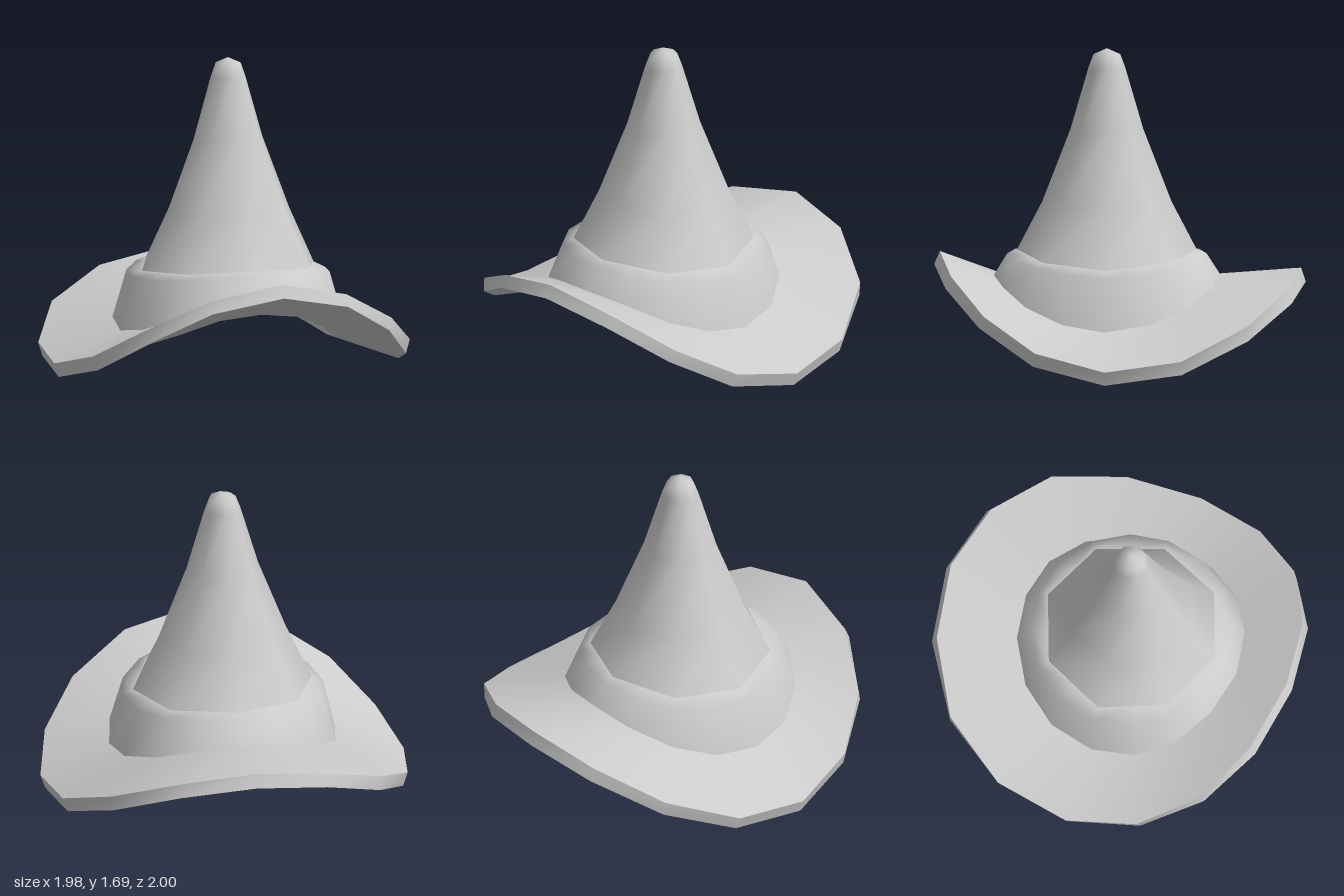
import * as THREE from 'three';
import { mergeVertices } from 'three/addons/utils/BufferGeometryUtils.js';

const CZ = 0.068; // the crown's axis sits slightly forward

// Complete a half ring (front to back along +x) with its mirror image
const mirrorRing = (half) => [
  ...half,
  ...half.slice(1, -1).reverse().map(([x, y, z]) => [-x, y, z]),
];

// Regular ring around the crown's axis
const circle = (n, r, y) => Array.from({ length: n }, (_, i) => {
  const a = (i / n) * Math.PI * 2;
  return [Math.sin(a) * r, y, CZ + Math.cos(a) * r];
});

// Oval ring whose height rises toward the front and back
const saddle = (n, rx, rz, ySide, yEnd) => Array.from({ length: n }, (_, i) => {
  const a = (i / n) * Math.PI * 2, c = Math.cos(a);
  return [Math.sin(a) * rx, ySide + (yEnd - ySide) * c * c, CZ + c * rz];
});

// Double the number of points by adding edge midpoints
const subdivide = (ring) => ring.flatMap((p, i) => {
  const q = ring[(i + 1) % ring.length];
  return [p, p.map((v, k) => (v + q[k]) / 2)];
});

// Smooth skin through closed rings, facing outward when they run upward
function loft(rings) {
  const n = rings[0].length, index = [];
  for (let j = 0; j < rings.length - 1; j++) {
    for (let i = 0; i < n; i++) {
      const k = (i + 1) % n;
      const a = j * n + i, b = j * n + k, c = a + n, d = b + n;
      index.push(a, b, d, a, d, c);
    }
  }
  let g = new THREE.BufferGeometry();
  g.setAttribute('position', new THREE.Float32BufferAttribute(rings.flat(2), 3));
  g.setIndex(index);
  g = mergeVertices(g);
  g.computeVertexNormals();
  return g;
}

export function createModel() {
  const hat = new THREE.Group();
  hat.name = 'pointedHat';
  const felt = new THREE.MeshStandardMaterial({ color: 0xcccccc });
  felt.name = 'light grey felt';
  felt.side = THREE.DoubleSide;
  const add = (name, rings) => {
    const mesh = new THREE.Mesh(loft(rings), felt);
    mesh.name = name;
    hat.add(mesh);
  };

  // Brim outlines, drooping at the sides
  const edgeTop = mirrorRing([
    [0, 0.585, 0.965], [0.385, 0.505, 0.905], [0.7, 0.335, 0.73],
    [0.9, 0.165, 0.455], [0.99, 0.075, 0.08], [0.94, 0.125, -0.33],
    [0.74, 0.285, -0.685], [0.395, 0.43, -0.9], [0, 0.495, -0.975],
  ]);
  const edgeBottom = mirrorRing([
    [0, 0.515, 0.995], [0.385, 0.44, 0.935], [0.68, 0.27, 0.755],
    [0.875, 0.09, 0.465], [0.965, 0, 0.08], [0.915, 0.05, -0.335],
    [0.73, 0.205, -0.69], [0.4, 0.36, -0.925], [0, 0.42, -1],
  ]);
  // Seam where the band meets the brim, and the opening below it
  const seam = mirrorRing([
    [0, 0.455, 0.675], [0.245, 0.425, 0.625], [0.44, 0.345, 0.505],
    [0.573, 0.27, 0.31], [0.615, 0.235, 0.08], [0.575, 0.27, -0.165],
    [0.44, 0.345, -0.37], [0.235, 0.425, -0.5], [0, 0.46, -0.54],
  ]);
  const opening = seam.map(([x, y, z]) => [x * 0.91, y - 0.085, CZ + (z - CZ) * 0.91]);

  add('brimTop', [edgeTop, seam]);
  add('brimEdge', [edgeBottom, edgeTop]);
  add('brimUnderside', [opening, edgeBottom]);

  // Bulging band below the cone
  const coneBase = saddle(8, 0.487, 0.482, 0.55, 0.595);
  add('band', [seam, saddle(16, 0.548, 0.535, 0.52, 0.573), subdivide(coneBase)]);

  // Eight-sided cone with a rounded tip
  add('cone', [
    coneBase,
    circle(8, 0.347, 0.855),
    circle(8, 0.195, 1.25),
    circle(8, 0.098, 1.585),
    circle(8, 0.072, 1.655),
    circle(8, 0, 1.687),
  ]);

  // Hollow inside, from the tip down to the opening
  add('lining', [
    circle(16, 0, 1.58),
    circle(16, 0.03, 1.55),
    circle(16, 0.115, 1.22),
    circle(16, 0.26, 0.83),
    saddle(16, 0.39, 0.385, 0.51, 0.55),
    saddle(16, 0.47, 0.46, 0.45, 0.5),
    opening,
  ]);
  return hat;
}
